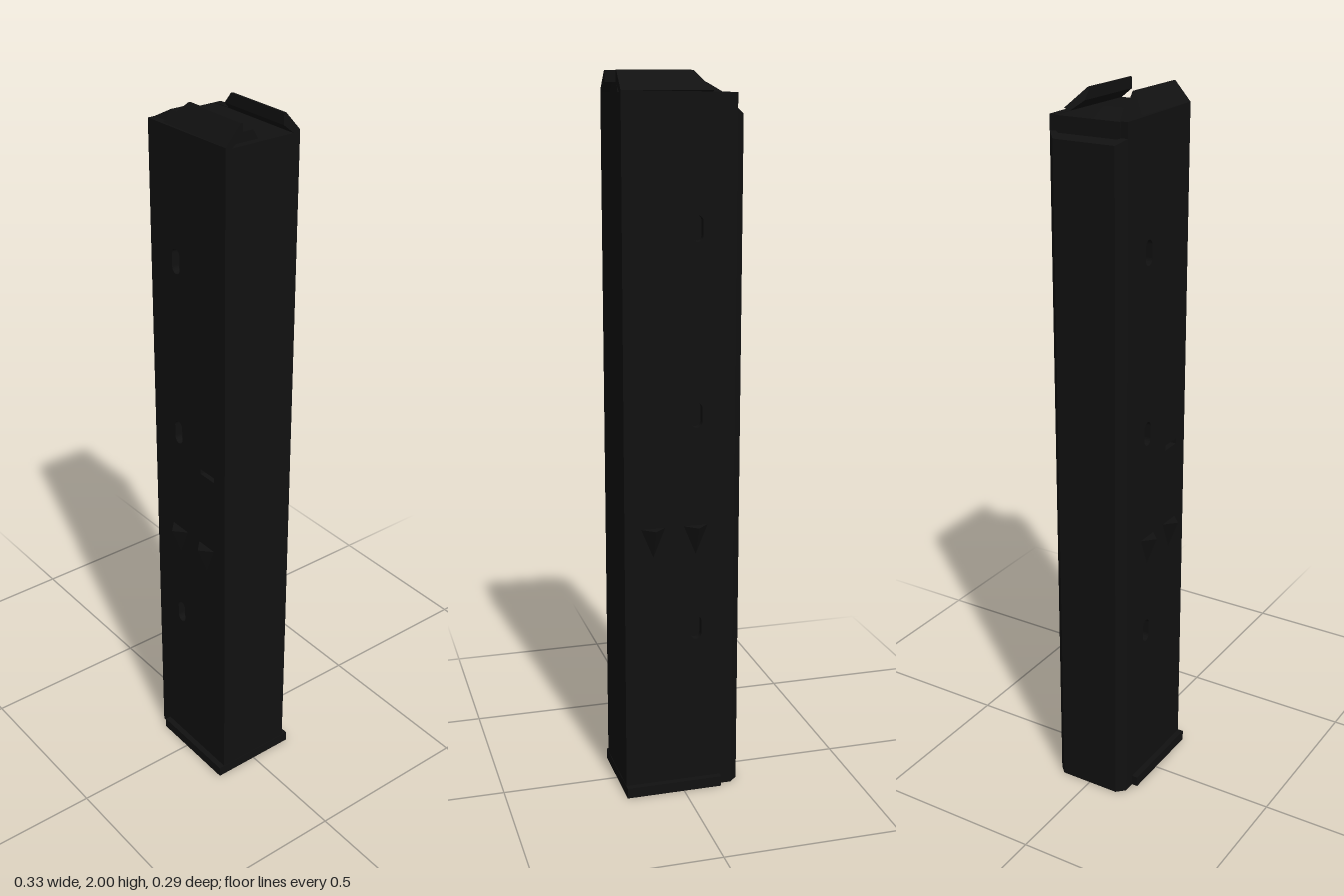
import * as THREE from 'three';

const dark = new THREE.MeshStandardMaterial({ color: 0x111111, flatShading: true, side: THREE.DoubleSide });

function polygon(points) {
  return new THREE.Shape(points.map(([x, y]) => new THREE.Vector2(x, y)));
}

function extrude(shape, depth) {
  return new THREE.ExtrudeGeometry(shape, { depth, bevelEnabled: false, curveSegments: 6 });
}

// Section given as [z, y], swept along x from x0 to x1
function extrudeX(section, x0, x1) {
  const g = extrude(polygon(section.map(([z, y]) => [-z, y])), x1 - x0);
  return g.rotateY(Math.PI / 2).translate(x0, 0, 0);
}

// Plan given as [x, z], swept upward from y = 0
function extrudeY(plan, height) {
  return extrude(polygon(plan.map(([x, z]) => [x, -z])), height).rotateX(-Math.PI / 2);
}

// Rounded viewing slot
function slot(x, y, r, halfStraight) {
  const p = new THREE.Path();
  p.absarc(x, y + halfStraight, r, 0, Math.PI);
  p.absarc(x, y - halfStraight, r, Math.PI, Math.PI * 2);
  p.closePath();
  return p;
}

export function createModel() {
  const group = new THREE.Group();
  const add = (name, geometry) => {
    const mesh = new THREE.Mesh(geometry, dark);
    mesh.name = name;
    group.add(mesh);
  };

  for (const s of [1, -1]) {
    const side = s > 0 ? 'front' : 'back';

    // Side wall with three slots
    const wall = polygon([[-0.145, 0], [0.166, 0], [0.166, 1.95], [-0.145, 1.945]]);
    for (const y of [0.49, 1.1, 1.6]) wall.holes.push(slot(-0.038, y, 0.016, 0.018));
    if (s > 0) {
      // Shallow catch notch on one side only
      wall.holes.push(new THREE.Path([[0.06, 1.015], [0.12, 1.015], [0.12, 1.03], [0.06, 1.03]]
        .map(([x, y]) => new THREE.Vector2(x, y))));
    }
    add(side + 'Wall', extrude(wall, 0.02).translate(0, 0, s > 0 ? 0.093 : -0.113));

    // Inward-bent feed lip, its leading end cut back on a slant
    const lip = extrudeX([[0.113, 1.95], [0.068, 2], [0.062, 2], [0.062, 1.97], [0.093, 1.945]]
      .map(([z, y]) => [s * z, y]), -0.08, 0.166);
    const p = lip.attributes.position;
    for (let i = 0; i < p.count; i++) {
      if (p.getX(i) < 0) p.setX(i, -0.08 + (p.getY(i) - 1.95) * 0.85);
    }
    lip.computeVertexNormals();
    add(side + 'FeedLip', lip);

    // Wedge studs: broad at the top, tapering to a point below
    for (const x of [-0.036, 0.085]) {
      const a = [x - 0.035, 0.79, s * 0.112], b = [x + 0.035, 0.79, s * 0.112];
      const tip = [x, 0.79, s * 0.144], low = [x, 0.705, s * 0.112];
      const faces = [a, tip, b, a, low, tip, tip, low, b];
      if (s < 0) faces.reverse();
      const g = new THREE.BufferGeometry();
      g.setAttribute('position', new THREE.Float32BufferAttribute(faces.flat(), 3));
      g.computeVertexNormals();
      add(side + 'Stud', g);
    }
  }

  // Chamfered narrow wall, sloping down slightly at its outer top edge
  const nose = extrudeY([[-0.145, 0.113], [-0.168, 0.09], [-0.168, -0.09], [-0.145, -0.113],
    [-0.145, -0.093], [-0.15, -0.085], [-0.15, 0.085], [-0.145, 0.093]], 1.89);
  const np = nose.attributes.position;
  for (let i = 0; i < np.count; i++) {
    if (np.getY(i) > 1) np.setY(i, 1.89 + (np.getX(i) + 0.168) * 0.65);
  }
  nose.computeVertexNormals();
  add('chamferedWall', nose);

  // Plain narrow wall
  add('spineWall', new THREE.BoxGeometry(0.02, 1.945, 0.186).translate(0.156, 0.9725, 0));

  // Floor and the wider base plate
  add('floor', extrudeY([[-0.145, 0.113], [-0.168, 0.09], [-0.168, -0.09], [-0.145, -0.113],
    [0.166, -0.113], [0.166, 0.113]], 0.025));
  add('basePlate', new THREE.BoxGeometry(0.278, 0.03, 0.26).translate(0.028, 0.015, 0));

  // Stepped follower with a ramp at its leading end
  const section = [[0.092, 1.85], [0.092, 1.945], [0.075, 1.97], [0.015, 1.97],
    [0, 1.945], [-0.092, 1.945], [-0.092, 1.85]];
  add('follower', extrudeX(section, -0.1, 0.146));
  const ramp = extrudeX(section, -0.147, -0.1);
  const rp = ramp.attributes.position;
  for (let i = 0; i < rp.count; i++) {
    if (rp.getX(i) < -0.12) rp.setY(i, Math.min(rp.getY(i), 1.944));
  }
  ramp.computeVertexNormals();
  add('followerRamp', ramp);

  return group;
}
